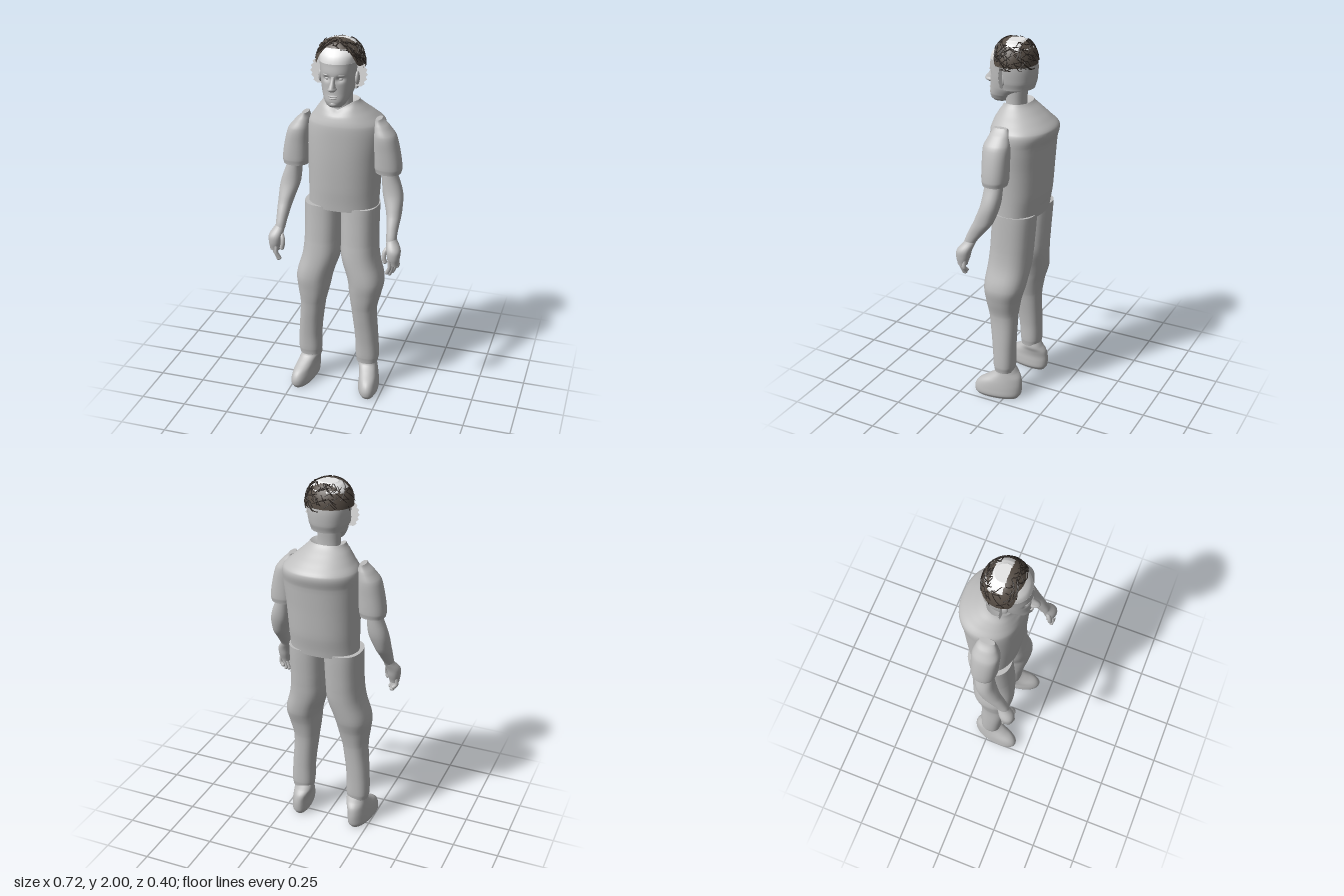
import * as THREE from 'three';

const mat = (name, hex, side = THREE.FrontSide) => {
  const m = new THREE.MeshStandardMaterial({ color: hex, side });
  m.name = name;
  return m;
};

// Smooth loft through rows [y, xMin, xMax, zBack, zFront], bottom to top, with closed ends.
// rule may move each vertex; p is the squareness of the outline.
function loft(rows, { p = 2.2, n = 32, sub = 5, rule = null, topDrop = 0 } = {}) {
  const cr = (a, b, c, d, t) =>
    b + 0.5 * t * (c - a + t * (2 * a - 5 * b + 4 * c - d + t * (3 * (b - c) + d - a)));
  const rings = [];
  for (let i = 0; i < rows.length - 1; i++) {
    const a = rows[Math.max(i - 1, 0)], b = rows[i], c = rows[i + 1], d = rows[Math.min(i + 2, rows.length - 1)];
    for (let k = 0; k < sub; k++)
      rings.push(b.map((_, q) => q ? cr(a[q], b[q], c[q], d[q], k / sub) : b[0] + (c[0] - b[0]) * k / sub));
  }
  rings.push(rows[rows.length - 1]);
  const pos = [], idx = [];
  const pw = v => Math.sign(v) * Math.abs(v) ** (2 / p);
  const addRing = ([y, x0, x1, z0, z1]) => {
    for (let j = 0; j < n; j++) {
      const t = j / n * Math.PI * 2;
      const v = new THREE.Vector3((x0 + x1) / 2 + (x1 - x0) / 2 * pw(Math.sin(t)), y,
        (z0 + z1) / 2 + (z1 - z0) / 2 * pw(Math.cos(t)));
      if (rule) rule(v);
      pos.push(v.x, v.y, v.z);
    }
  };
  rings.forEach(addRing);
  for (let i = 0; i < rings.length - 1; i++)
    for (let j = 0; j < n; j++) {
      const a = i * n + j, b = i * n + (j + 1) % n;
      idx.push(a, b, b + n, a, b + n, a + n);
    }
  for (const top of [false, true]) {
    const r = top ? rings[rings.length - 1] : rings[0], s = pos.length / 3;
    addRing(r);
    pos.push((r[1] + r[2]) / 2, r[0] - (top ? topDrop : 0), (r[3] + r[4]) / 2);
    for (let j = 0; j < n; j++) {
      const a = s + j, b = s + (j + 1) % n;
      top ? idx.push(s + n, a, b) : idx.push(s + n, b, a);
    }
  }
  const g = new THREE.BufferGeometry();
  g.setAttribute('position', new THREE.Float32BufferAttribute(pos, 3));
  g.setIndex(idx);
  g.computeVertexNormals();
  return g;
}

export function createModel() {
  const root = new THREE.Group();
  const grey = mat('plain grey', 0xbebebe);
  const pale = mat('pale scalp', 0xe6e6e6, THREE.DoubleSide);
  const brown = mat('hair brown', 0x564d45, THREE.DoubleSide);
  const dark = mat('dark strand', 0x2c2622);
  const add = (name, geo, m = grey, parent = root) => {
    const mesh = new THREE.Mesh(geo, m);
    mesh.name = name;
    parent.add(mesh);
    return mesh;
  };
  const blob = (name, x, y, z, rx, ry, rz) => {
    const m = add(name, new THREE.SphereGeometry(1, 16, 12));
    m.position.set(x, y, z);
    m.scale.set(rx, ry, rz);
    return m;
  };
  // Mirrors rows of absolute x to side s, with an optional sideways shift per height
  const mirror = (rows, s, shift = () => 0) => rows.map(([y, a, b, z0, z1]) => {
    const o = shift(y);
    return s > 0 ? [y, a + o, b + o, z0, z1] : [y, -b, -a, z0, z1];
  });

  // Shirt body with a V neck
  add('shirt', loft([
    [1.085, -0.18, 0.195, -0.145, 0.105], [1.2, -0.18, 0.2, -0.165, 0.115],
    [1.35, -0.183, 0.21, -0.178, 0.123], [1.48, -0.185, 0.222, -0.19, 0.125],
    [1.55, -0.18, 0.218, -0.204, 0.123], [1.59, -0.15, 0.18, -0.165, 0.112],
    [1.635, -0.118, 0.13, -0.11, 0.093], [1.675, -0.09, 0.095, -0.066, 0.075],
  ], {
    n: 48, topDrop: 0.05,
    rule: v => { if (v.z > 0.02 && v.y > 1.6) v.y -= Math.max(0, 1 - Math.abs(v.x) / 0.08) * 0.6 * (v.y - 1.6); },
  }));

  // Legs, shoes and arms, one of each per side
  for (const s of [-1, 1]) {
    const side = s > 0 ? 'left' : 'right';
    const lean = y => -0.023 * THREE.MathUtils.clamp((0.65 - y) / 0.2, 0, 1);
    add(side + 'TrouserLeg', loft(mirror([
      [0.165, 0.118, 0.235, -0.04, 0.068], [0.2, 0.113, 0.241, -0.045, 0.073],
      [0.32, 0.11, 0.236, -0.046, 0.082], [0.5, 0.087, 0.222, -0.052, 0.105],
      [0.6, 0.062, 0.234, -0.07, 0.12], [0.68, 0.045, 0.24, -0.095, 0.128],
      [0.8, 0.008, 0.21, -0.112, 0.12], [0.9, 0.002, 0.2, -0.122, 0.11],
      [1.1, -0.002, 0.2, -0.137, 0.098],
    ], s, lean), { p: 2.3 }));
    add(side + 'Shoe', loft(mirror([
      [0, 0.15, 0.24, -0.065, 0.165], [0.02, 0.138, 0.252, -0.08, 0.178],
      [0.055, 0.138, 0.25, -0.086, 0.178], [0.09, 0.14, 0.245, -0.086, 0.155],
      [0.125, 0.135, 0.238, -0.078, 0.1], [0.155, 0.125, 0.232, -0.055, 0.06],
      [0.2, 0.13, 0.225, -0.03, 0.055],
    ], s, () => -0.025), { rule: v => { v.x += s * 0.14 * (v.z - 0.03); } }));

    const out = () => 0.01;
    add(side + 'Sleeve', loft(mirror([
      [1.302, 0.178, 0.31, -0.052, 0.072], [1.33, 0.17, 0.315, -0.058, 0.077],
      [1.42, 0.165, 0.302, -0.06, 0.08], [1.5, 0.162, 0.28, -0.06, 0.08],
      [1.55, 0.163, 0.24, -0.048, 0.06], [1.585, 0.175, 0.205, -0.035, 0.045],
    ], s, out)));
    add(side + 'Forearm', loft(mirror([
      [0.97, 0.272, 0.323, 0.105, 0.165], [1.03, 0.264, 0.325, 0.062, 0.143],
      [1.1, 0.25, 0.33, 0.005, 0.108], [1.2, 0.22, 0.325, -0.028, 0.072],
      [1.32, 0.213, 0.287, -0.035, 0.06],
    ], s, out), { n: 24 }));
    add(side + 'Palm', loft(mirror([
      [0.855, 0.292, 0.345, 0.14, 0.19], [0.9, 0.284, 0.352, 0.125, 0.199],
      [0.94, 0.278, 0.351, 0.115, 0.194], [0.99, 0.272, 0.322, 0.098, 0.158],
    ], s, out), { n: 20 }));
    const o = s > 0 ? 0.01 : 0;
    const digit = (name, r, pts) => {
      const v = pts.map(([x, y, z]) => new THREE.Vector3(s * (x + o), y, z));
      add(name, new THREE.TubeGeometry(new THREE.CatmullRomCurve3(v), 8, r, 8));
      const e = v[v.length - 1];
      blob(name + 'Tip', e.x, e.y, e.z, r, r, r);
    };
    for (let f = 0; f < 4; f++) {
      const x = 0.302 + f * 0.011, z = 0.188 - f * 0.014, low = [0.812, 0.802, 0.81, 0.83][f];
      digit(side + 'Finger' + (f + 1), 0.0105, [[x, 0.885, z], [x + 0.002, 0.845, z], [x - 0.012, low, z - 0.006]]);
    }
    digit(side + 'Thumb', 0.012, [[0.292, 0.95, 0.15], [0.274, 0.925, 0.17], [0.271, 0.895, 0.178], [0.276, 0.872, 0.178]]);
  }

  // Neck and face, with eye sockets pressed in
  add('neck', loft([[1.58, -0.065, 0.07, -0.04, 0.075], [1.66, -0.058, 0.062, -0.033, 0.07],
    [1.76, -0.06, 0.064, -0.04, 0.075]], { n: 24 }));
  add('face', loft([
    [1.664, -0.032, 0.036, 0.07, 0.14], [1.675, -0.045, 0.049, 0.04, 0.155],
    [1.7, -0.06, 0.064, 0.01, 0.161], [1.74, -0.077, 0.081, -0.05, 0.157],
    [1.79, -0.086, 0.09, -0.07, 0.156], [1.84, -0.09, 0.094, -0.08, 0.158],
    [1.885, -0.095, 0.099, -0.082, 0.152],
  ], {
    n: 64, sub: 8,
    rule: v => {
      if (v.z < 0.08) return;
      for (const x of [-0.032, 0.036])
        v.z -= 0.015 * Math.exp(-(((v.x - x) / 0.018) ** 2) - ((v.y - 1.812) / 0.013) ** 2);
    },
  }));
  add('nose', loft([[1.752, -0.01, 0.014, 0.14, 0.175], [1.762, -0.02, 0.024, 0.13, 0.194],
    [1.775, -0.014, 0.018, 0.13, 0.194], [1.8, -0.009, 0.013, 0.13, 0.174],
    [1.825, -0.009, 0.013, 0.13, 0.16]], { n: 20 }));
  for (const s of [-1, 1]) {
    blob('eye', 0.002 + s * 0.034, 1.811, 0.131, 0.013, 0.008, 0.012);
    blob('brow', 0.002 + s * 0.034, 1.831, 0.138, 0.024, 0.006, 0.015).rotation.y = s * 0.3;
    blob('ear', 0.002 + s * 0.095, 1.8, 0.05, 0.012, 0.035, 0.022);
  }
  blob('upperLip', 0.002, 1.727, 0.156, 0.025, 0.005, 0.012);
  blob('lowerLip', 0.002, 1.715, 0.155, 0.02, 0.006, 0.012);
  blob('chin', 0.002, 1.685, 0.147, 0.022, 0.015, 0.016);

  // Back of the head, cut flat behind the face
  add('backOfHead', loft([[1.742, -0.09, 0.094, -0.075, 0.13], [1.78, -0.1, 0.104, -0.086, 0.13],
    [1.85, -0.108, 0.112, -0.09, 0.13], [1.92, -0.105, 0.11, -0.08, 0.125]],
  { n: 40, rule: v => { v.z = Math.min(v.z, 0.045); } }));

  // Bare scalp and forehead
  add('scalp', loft([[1.885, -0.095, 0.099, -0.082, 0.152], [1.92, -0.097, 0.101, -0.075, 0.14],
    [1.95, -0.092, 0.096, -0.068, 0.113], [1.975, -0.068, 0.072, -0.042, 0.08],
    [1.986, -0.045, 0.049, -0.025, 0.06]]), pale);

  // Ragged side tufts
  for (const s of [-1, 1]) {
    const shape = new THREE.Shape();
    shape.moveTo(0.08, 1.755);
    for (let i = 0; i <= 12; i++) {
      const t = i / 12;
      shape.lineTo(0.098 + 0.046 * Math.sin(Math.PI * (0.15 + 0.8 * t)) + (i % 2 ? 0.006 : -0.004), 1.755 + 0.15 * t);
    }
    shape.lineTo(0.08, 1.9);
    const g = new THREE.ShapeGeometry(shape);
    g.scale(s, 1, 1);
    add('sideTuft', g, pale).position.z = 0.046;
  }

  // Hair shell: t runs round the head from the front, k from crown to hairline
  const hairEnd = t => 0.82 + 0.76 * THREE.MathUtils.smoothstep(Math.abs(t), 0.5, 1.1);
  const hairPoint = (t, k, lift = 0) => {
    const a = k * hairEnd(t), r = Math.sin(a) ** 0.8;
    return new THREE.Vector3(0.003 + (0.125 + lift) * r * Math.sin(t), 1.868 + (0.128 + lift) * Math.cos(a),
      0.025 + (0.115 + lift) * r * Math.cos(t));
  };
  const isBare = p => p.y > 1.94 && p.z > -0.035 && p.z < 0.04 && Math.abs(p.x) < 0.092;
  const N = 64, K = 20, pos = [], idx = [];
  for (let k = 0; k <= K; k++)
    for (let j = 0; j <= N; j++) pos.push(...hairPoint((j / N * 2 - 1) * Math.PI, k / K));
  for (let k = 0; k < K; k++)
    for (let j = 0; j < N; j++) {
      if (isBare(hairPoint(((j + 0.5) / N * 2 - 1) * Math.PI, (k + 0.5) / K))) continue;
      const a = k * (N + 1) + j, b = a + N + 1;
      idx.push(a, b, b + 1, a, b + 1, a + 1);
    }
  const shell = new THREE.BufferGeometry();
  shell.setAttribute('position', new THREE.Float32BufferAttribute(pos, 3));
  shell.setIndex(idx);
  shell.computeVertexNormals();
  add('hairShell', shell, brown);

  // Loose strands criss-crossing the hair
  let seed = 7;
  const rnd = () => (seed = (seed * 16807) % 2147483647) / 2147483647;
  const strands = new THREE.Group();
  strands.name = 'hairStrands';
  root.add(strands);
  for (let i = 0; i < 150; i++) {
    const t = (rnd() * 2 - 1) * Math.PI, k = 0.4 + rnd() * 0.55, dt = (rnd() - 0.5) * 1.3, dk = (rnd() - 0.5) * 0.7;
    const pts = [0, 1, 2, 3].map(q => hairPoint(t + dt * q / 3, Math.min(1.06, Math.max(0.3, k + dk * q / 3)), 0.002));
    if (pts.every(isBare)) continue;
    add('strand', new THREE.TubeGeometry(new THREE.CatmullRomCurve3(pts), 8, 0.0022, 4), dark, strands);
  }
  return root;
}
